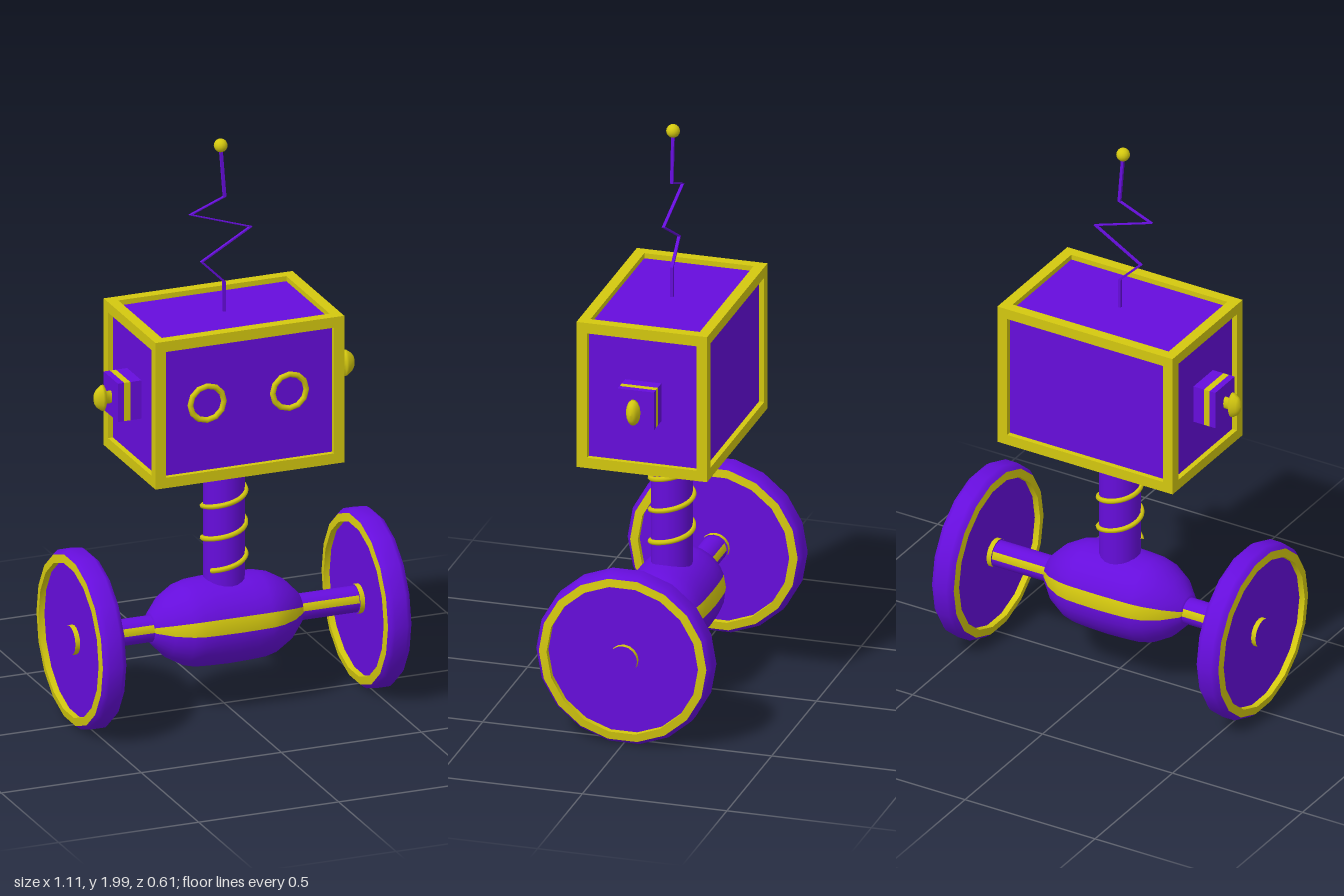
import * as THREE from 'three';
import { toCreasedNormals } from 'three/addons/utils/BufferGeometryUtils.js';

const purple = new THREE.MeshStandardMaterial({ color: 0x660ddc });
const yellow = new THREE.MeshStandardMaterial({ color: 0xd4c80f });

function add(parent, name, geometry, material, x = 0, y = 0, z = 0) {
  const mesh = new THREE.Mesh(geometry, material);
  mesh.name = name;
  mesh.position.set(x, y, z);
  parent.add(mesh);
  return mesh;
}

function group(parent, name, x = 0, y = 0, z = 0) {
  const g = new THREE.Group();
  g.name = name;
  g.position.set(x, y, z);
  parent.add(g);
  return g;
}

// Profile of [radius, x] pairs turned about the x axis
function turned(profile, segments, start = 0, length = Math.PI * 2) {
  const points = profile.map(([r, x]) => new THREE.Vector2(r, x));
  return new THREE.LatheGeometry(points, segments, start, length).rotateZ(-Math.PI / 2);
}

// Turned part with a yellow stripe just above the middle, front and back
function stripedPart(parent, name, profile, stripe) {
  const PI = Math.PI;
  add(parent, name + 'Lower', turned(profile, 12, 0, PI), purple);
  add(parent, name + 'Upper', turned(profile, 12, PI + stripe, PI - 2 * stripe), purple);
  add(parent, name + 'FrontStripe', turned(profile, 1, -stripe, stripe), yellow);
  add(parent, name + 'BackStripe', turned(profile, 1, PI, stripe), yellow);
}

function makeWheel(parent, name, x) {
  const wheel = group(parent, name, x, 0, 0);
  const tread = [[0.289, -0.042], [0.297, -0.034], [0.305, -0.022], [0.305, 0.022], [0.297, 0.034], [0.289, 0.042]];
  add(wheel, 'tyre', turned(tread, 18), purple);
  for (const turn of [0, Math.PI]) {
    const side = group(wheel, 'wheelSide');
    side.rotation.y = turn;
    const ring = turned([[0.29, 0.042], [0.262, 0.046], [0.262, 0.025]], 18);
    add(side, 'rimRing', toCreasedNormals(ring, 0.6), yellow);
    add(side, 'wheelDisc', turned([[0.263, 0.025], [0, 0.025]], 18), purple);
    add(side, 'hubSide', turned([[0.05, 0.02], [0.05, 0.042]], 16), yellow);
    add(side, 'hubCap', turned([[0.05, 0.042], [0, 0.042]], 16), purple);
  }
}

function makeHead(parent) {
  const head = group(parent, 'head', 0, 1.145, 0);
  const half = [0.337, 0.259, 0.226], bar = 0.037, inset = 0.018;
  add(head, 'headPanels', new THREE.BoxGeometry(...half.map(h => 2 * (h - inset))), purple);
  // Twelve edge bars
  for (let axis = 0; axis < 3; axis++) {
    for (const a of [-1, 1]) for (const b of [-1, 1]) {
      const size = [bar, bar, bar], pos = [0, 0, 0];
      const u = (axis + 1) % 3, v = (axis + 2) % 3;
      size[axis] = half[axis] * 2;
      pos[u] = a * (half[u] - bar / 2);
      pos[v] = b * (half[v] - bar / 2);
      add(head, 'edgeBar', new THREE.BoxGeometry(...size), yellow, ...pos);
    }
  }
  for (const s of [-1, 1]) {
    add(head, s > 0 ? 'leftEye' : 'rightEye', new THREE.TorusGeometry(0.06, 0.01, 8, 12), yellow, s * 0.147, 0.015, 0.212);

    // Layered ear with a flattened knob
    const ear = group(head, s > 0 ? 'leftEar' : 'rightEar');
    ear.rotation.y = s > 0 ? 0 : Math.PI;
    [[0.32, 0.36, purple], [0.36, 0.382, yellow], [0.382, 0.404, purple]].forEach(([x0, x1, material]) =>
      add(ear, 'earLayer', new THREE.BoxGeometry(x1 - x0, 0.135, 0.125), material, (x0 + x1) / 2, 0, 0));
    const knob = turned([[0.022, 0.4], [0.022, 0.42], [0.046, 0.43], [0.045, 0.438], [0.033, 0.454], [0.02, 0.462], [0, 0.465]], 14);
    add(ear, 'earKnob', knob, yellow).scale.z = 0.53;
  }
}

function makeAntenna(parent) {
  const antenna = group(parent, 'antenna');
  const path = [[0, 1.39], [0, 1.495], [-0.08, 1.575], [0.095, 1.675], [-0.12, 1.747], [0.002, 1.795], [-0.012, 1.97]];
  const w = 0.005;
  const outline = [
    ...path.map(([x, y]) => new THREE.Vector2(x + w, y)),
    ...path.map(([x, y]) => new THREE.Vector2(x - w, y)).reverse(),
  ];
  const wire = new THREE.ExtrudeGeometry(new THREE.Shape(outline), { depth: 0.01, bevelEnabled: false });
  add(antenna, 'antennaWire', wire.translate(0, 0, -0.005), purple);
  add(antenna, 'antennaBall', new THREE.SphereGeometry(0.023, 14, 10), yellow, -0.012, 1.977, 0);
}

class Helix extends THREE.Curve {
  getPoint(t, target = new THREE.Vector3()) {
    const a = -1 + t * 22.8;
    return target.set(0.072 * Math.sin(a), 0.512 + 0.113 * a / (2 * Math.PI), 0.072 * Math.cos(a));
  }
}

export function createModel() {
  const robot = new THREE.Group();
  robot.name = 'robot';

  // Rolling base: body, axle and wheels
  const base = group(robot, 'base', 0, 0.306, 0);
  const halfBody = [[0.15, 0.07], [0.147, 0.12], [0.137, 0.16], [0.105, 0.215], [0.055, 0.262], [0.04, 0.266]];
  const body = [...halfBody.map(([r, x]) => [r, -x]).reverse(), [0.152, 0], ...halfBody];
  stripedPart(base, 'body', body, 0.35);
  stripedPart(base, 'axle', [[0.045, -0.5], [0.045, 0.5]], 0.6);
  makeWheel(base, 'leftWheel', 0.509);
  makeWheel(base, 'rightWheel', -0.509);

  // Neck wrapped by a coil
  add(robot, 'neck', new THREE.CylinderGeometry(0.069, 0.069, 0.47, 20), purple, 0, 0.665, 0);
  add(robot, 'neckCoil', new THREE.TubeGeometry(new Helix(), 110, 0.009, 6), yellow);

  makeHead(robot);
  makeAntenna(robot);
  return robot;
}
